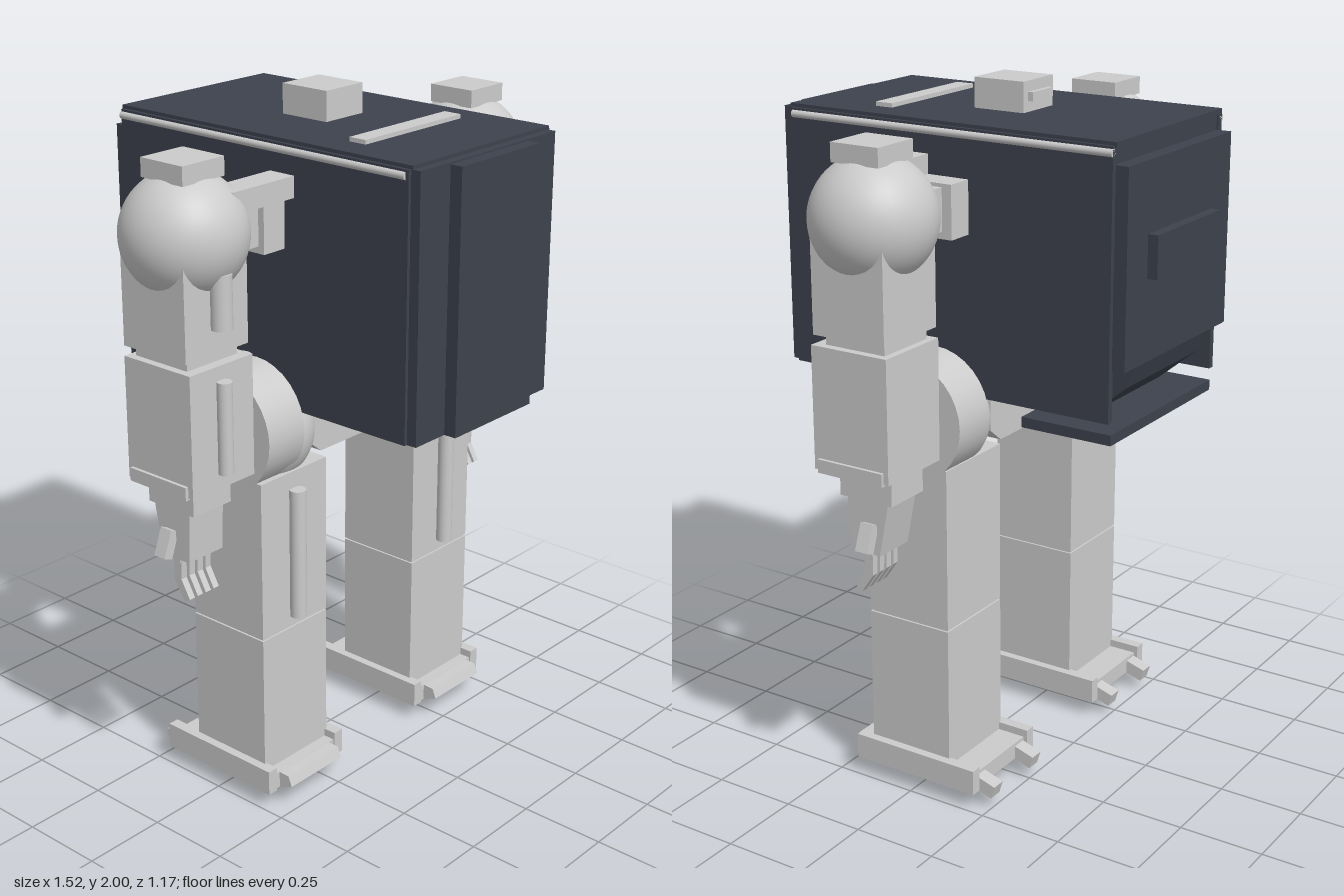
import * as THREE from 'three';

const grey = new THREE.MeshStandardMaterial({ color: 0xcccccc });
const dark = new THREE.MeshStandardMaterial({ color: 0x3d424d });
const light = new THREE.MeshStandardMaterial({ color: 0xf0f0f0 });

function add(parent, name, geometry, mat = grey) {
  const mesh = new THREE.Mesh(geometry, mat);
  mesh.name = name;
  parent.add(mesh);
  return mesh;
}

// Box given by its extents on each axis
function box(parent, name, [x0, x1], [y0, y1], [z0, z1], mat) {
  const g = new THREE.BoxGeometry(Math.abs(x1 - x0), y1 - y0, z1 - z0);
  g.translate((x0 + x1) / 2, (y0 + y1) / 2, (z0 + z1) / 2);
  return add(parent, name, g, mat);
}

// Side profile of [z, y] points, extruded across x
function prism(parent, name, points, [a, b], mat) {
  const shape = new THREE.Shape(points.map(p => new THREE.Vector2(...p)));
  const g = new THREE.ExtrudeGeometry(shape, { depth: Math.abs(b - a), bevelEnabled: false, curveSegments: 12 });
  g.rotateY(-Math.PI / 2).translate(Math.max(a, b), 0, 0);
  return add(parent, name, g, mat);
}

// Cylinder along x, y or z
function rod(parent, name, r, length, axis, pos, mat) {
  const g = new THREE.CylinderGeometry(r, r, length, 32);
  if (axis === 'x') g.rotateZ(Math.PI / 2);
  if (axis === 'z') g.rotateX(Math.PI / 2);
  return add(parent, name, g.translate(...pos), mat);
}

function ball(parent, name, r, pos) {
  return add(parent, name, new THREE.SphereGeometry(r, 40, 28).translate(...pos));
}

function buildBody(root) {
  const body = new THREE.Group();
  body.name = 'body';
  root.add(body);

  // Core with an undercut at the lower back
  prism(body, 'hull', [[0.52, 1.17], [0.52, 1.905], [-0.515, 1.905], [-0.515, 1.34], [-0.34, 1.17]], [-0.285, 0.285], dark);
  box(body, 'lid', [-0.29, 0.29], [1.9, 1.915], [-0.525, 0.525], dark);
  for (const s of [-1, 1]) {
    box(body, 'sidePlate', [s * 0.28, s * 0.3], [1.165, 1.905], [-0.52, 0.52], dark);
    rod(body, 'edgeStrip', 0.011, 1.03, 'z', [s * 0.297, 1.888, -0.005], light);
  }

  // Front panels
  box(body, 'frontPanel', [-0.29, 0.285], [1.165, 1.905], [0.515, 0.55], dark);
  box(body, 'frontRidge', [-0.17, 0.165], [1.165, 1.9], [0.545, 0.587], dark);

  // Rear hatch, sloped chute and tray
  box(body, 'rearPanel', [-0.285, 0.285], [1.31, 1.855], [-0.558, -0.515], dark);
  box(body, 'rearHandle', [-0.175, 0.175], [1.54, 1.66], [-0.588, -0.555], dark);
  prism(body, 'rearChute', [[-0.4, 1.31], [-0.545, 1.31], [-0.52, 1.24], [-0.4, 1.14], [-0.34, 1.17]], [-0.2, 0.2], dark);
  box(body, 'rearTray', [-0.285, 0.285], [1.1, 1.13], [-0.52, -0.24], dark);
  box(body, 'trayHanger', [-0.2, 0.2], [1.12, 1.18], [-0.29, -0.25], dark);

  // Roof details
  box(body, 'roofVent', [-0.2, 0.2], [1.91, 1.927], [0.24, 0.295]);
  box(body, 'head', [-0.075, 0.075], [1.91, 2.0], [-0.11, 0.05]);
  box(body, 'headRear', [-0.052, 0.052], [1.945, 1.97], [-0.125, -0.105]);

  // Waist and pelvis
  box(body, 'waist', [-0.145, 0.145], [1.12, 1.17], [-0.19, 0.23], dark);
  const outline = new THREE.Shape([[-0.24, 1.15], [-0.24, 1.05], [-0.19, 1.01], [0.19, 1.01], [0.24, 1.05], [0.24, 1.15]]
    .map(p => new THREE.Vector2(...p)));
  add(body, 'pelvis', new THREE.ExtrudeGeometry(outline, { depth: 0.24, bevelEnabled: false }).translate(0, 0, -0.11));
  box(body, 'pelvisPad', [-0.105, 0.105], [0.993, 1.012], [-0.08, 0.1], dark);
}

function buildArm(root, s) {
  const arm = new THREE.Group();
  arm.name = s > 0 ? 'leftArm' : 'rightArm';
  root.add(arm);
  const X = (a, b) => [s * a, s * b];

  // Shoulder mount
  box(arm, 'mountPlate', X(0.3, 0.38), [1.62, 1.77], [-0.08, 0.1]);
  box(arm, 'mountBlock', X(0.37, 0.43), [1.64, 1.76], [-0.05, 0.08]);
  rod(arm, 'shoulderAxle', 0.05, 0.1, 'x', [s * 0.46, 1.7, 0.015]);
  const brace = new THREE.Shape([[0.29, 0.05], [0.49, 0.05], [0.53, 0.135], [0.29, 0.135]]
    .map(([x, z]) => new THREE.Vector2(s * x, -z)));
  add(arm, 'shoulderBrace', new THREE.ExtrudeGeometry(brace, { depth: 0.06, bevelEnabled: false })
    .rotateX(-Math.PI / 2).translate(0, 1.765, 0));
  ball(arm, 'shoulder', 0.172, [s * 0.59, 1.71, 0.017]);
  box(arm, 'shoulderCap', X(0.515, 0.665), [1.86, 1.912], [-0.057, 0.093]);

  // Upper arm and forearm
  box(arm, 'upperArm', X(0.48, 0.71), [1.41, 1.7], [-0.097, 0.132]);
  rod(arm, 'upperArmRod', 0.03, 0.15, 'y', [s * 0.59, 1.555, 0.145]);
  box(arm, 'elbow', X(0.5, 0.685), [1.36, 1.42], [-0.08, 0.11]);
  box(arm, 'forearm', X(0.475, 0.708), [1.035, 1.38], [-0.1, 0.142]);
  box(arm, 'forearmHem', X(0.466, 0.718), [1.03, 1.068], [-0.085, 0.125]);
  rod(arm, 'forearmRod', 0.021, 0.26, 'y', [s * 0.597, 1.21, 0.157]);

  // Hand
  box(arm, 'wrist', X(0.52, 0.662), [0.955, 1.035], [-0.075, 0.095]);
  prism(arm, 'palm', [[0.075, 0.96], [-0.06, 0.96], [-0.028, 0.8], [0.068, 0.81]], X(0.53, 0.657));
  for (let i = 0; i < 4; i++) {
    const x = 0.547 + i * 0.031;
    rod(arm, 'knuckle', 0.013, 0.024, 'x', [s * x, 0.795, 0.015]);
    prism(arm, 'finger', [[0.03, 0.8], [0, 0.8], [0.002, 0.735], [0.04, 0.68], [0.058, 0.692], [0.028, 0.745]], X(x - 0.01, x + 0.01));
  }
  const thumb = box(arm, 'thumb', [-0.015, 0.015], [-0.04, 0.04], [-0.02, 0.02]);
  thumb.position.set(s * 0.675, 0.855, 0.0);
  thumb.rotation.z = s * 0.35;
}

function buildLeg(root, s) {
  const leg = new THREE.Group();
  leg.name = s > 0 ? 'leftLeg' : 'rightLeg';
  root.add(leg);
  const X = (a, b) => [s * a, s * b];

  // Hip joint
  rod(leg, 'hipDrum', 0.175, 0.14, 'x', [s * 0.395, 1.125, 0.015]);
  ball(leg, 'hipBall', 0.155, [s * 0.325, 1.09, 0.02]);
  rod(leg, 'hipCap', 0.04, 0.05, 'y', [s * 0.4, 1.3, 0.015]);

  // Thigh and shin in two flush segments
  box(leg, 'thigh', X(0.197, 0.464), [0.525, 1.0], [-0.113, 0.155]);
  box(leg, 'knee', X(0.203, 0.458), [0.515, 0.53], [-0.107, 0.149]);
  box(leg, 'shin', X(0.197, 0.464), [0.08, 0.52], [-0.113, 0.155]);
  rod(leg, 'thighRod', 0.024, 0.39, 'y', [s * 0.333, 0.755, 0.171]);

  // Foot
  box(leg, 'footPlate', X(0.19, 0.475), [0.05, 0.1], [-0.2, 0.19]);
  box(leg, 'sole', X(0.225, 0.44), [0.033, 0.055], [-0.15, 0.16]);
  for (const [a, b] of [[0.172, 0.205], [0.457, 0.49]])
    box(leg, 'footRail', X(a, b), [0.048, 0.123], [-0.212, 0.195]);
  prism(leg, 'toeBar', [[0.18, 0.1], [0.225, 0.098], [0.237, 0.068], [0.19, 0.05]], X(0.225, 0.44));
  for (const x of [0.23, 0.433]) {
    const heel = box(leg, 'heelBlock', [-0.022, 0.022], [-0.02, 0.02], [-0.035, 0.035]);
    heel.position.set(s * x, 0.062, -0.222);
    heel.rotation.x = -0.3;
    rod(leg, 'heelRoller', 0.03, 0.044, 'x', [s * x, 0.06, -0.165]);
  }
  // Curved pad under the sole
  const pad = [];
  for (let i = 0; i <= 12; i++) {
    const t = -1 + i / 6;
    pad.push([0.02 + 0.085 * t, 0.04 * t * t]);
  }
  prism(leg, 'solePad', pad, X(0.28, 0.385));
}

export function createModel() {
  const root = new THREE.Group();
  root.name = 'walkingRobot';
  buildBody(root);
  for (const s of [-1, 1]) {
    buildArm(root, s);
    buildLeg(root, s);
  }
  return root;
}
